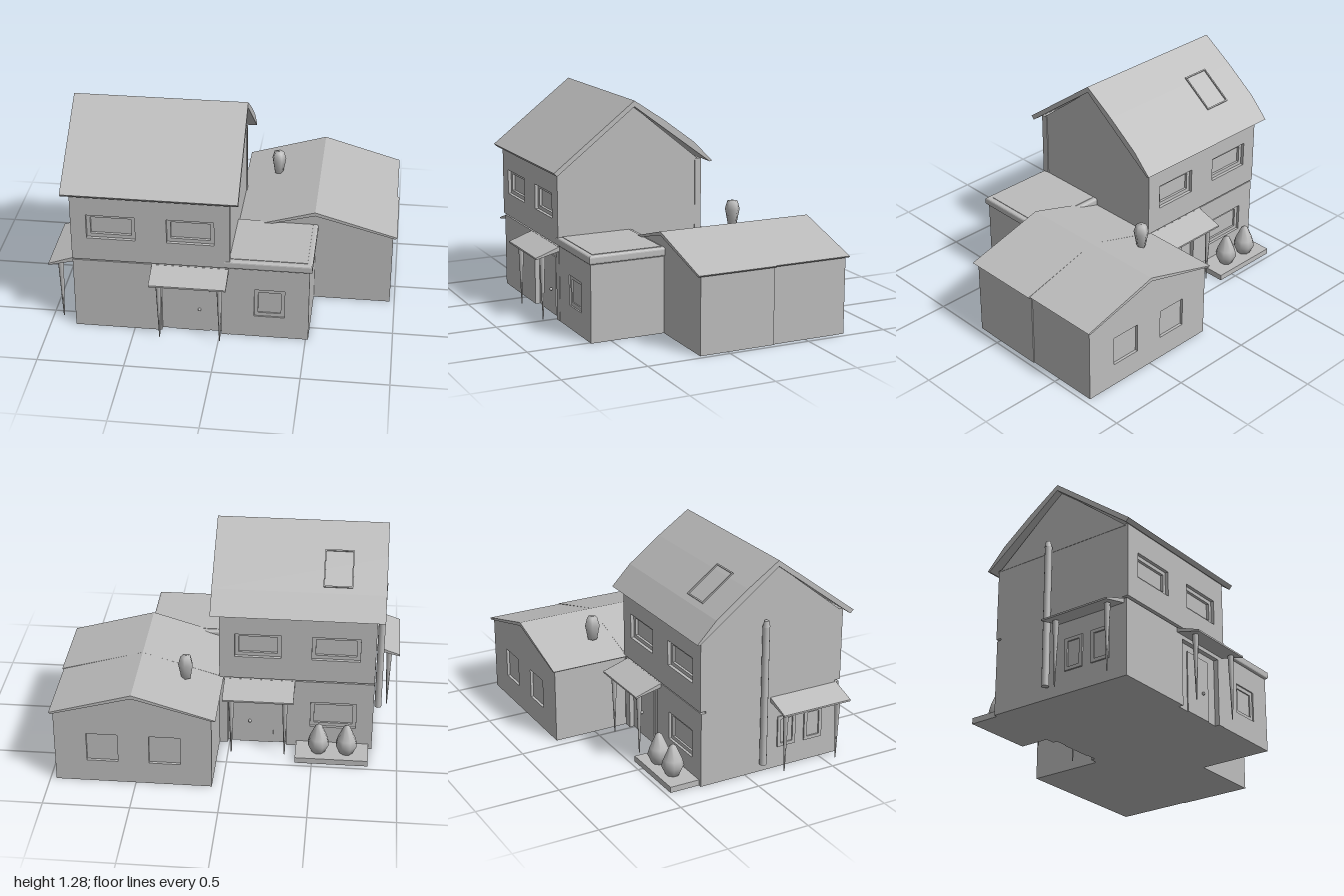
import * as THREE from 'three';

const plaster = new THREE.MeshStandardMaterial({ color: 0xbcbcbc });

function shapeOf(points) {
  return new THREE.Shape(points.map(([x, y]) => new THREE.Vector2(x, y)));
}
const rect = (x0, x1, y0, y1) => [[x0, y0], [x1, y0], [x1, y1], [x0, y1]];

export function createModel() {
  const model = new THREE.Group();

  function add(name, geometry, x = 0, y = 0, z = 0) {
    const mesh = new THREE.Mesh(geometry, plaster);
    mesh.name = name;
    mesh.position.set(x, y, z);
    model.add(mesh);
    return mesh;
  }
  function box(name, x0, x1, y0, y1, z0, z1) {
    return add(name, new THREE.BoxGeometry(x1 - x0, y1 - y0, z1 - z0),
      (x0 + x1) / 2, (y0 + y1) / 2, (z0 + z1) / 2);
  }
  // Outline in x,y pushed from z0 to z1, with optional rectangular holes
  function alongZ(name, points, z0, z1, holes = []) {
    const shape = shapeOf(points);
    holes.forEach(h => shape.holes.push(new THREE.Path(rect(...h).map(p => new THREE.Vector2(...p)))));
    return add(name, new THREE.ExtrudeGeometry(shape, { depth: z1 - z0, bevelEnabled: false }), 0, 0, z0);
  }
  // Outline in z,y pushed from x0 to x1
  function alongX(name, points, x0, x1, holes = []) {
    const mesh = alongZ(name, points, 0, x1 - x0, holes);
    mesh.geometry.rotateY(-Math.PI / 2);
    mesh.position.set(x1, 0, 0);
    return mesh;
  }
  // Narrow border sitting inside a window opening
  function windowFrame([x0, x1, y0, y1], z0, z1) {
    const t = 0.022;
    alongZ('windowFrame', rect(x0, x1, y0, y1), z0, z1, [[x0 + t, x1 - t, y0 + t, y1 - t]]);
  }

  // Main house core, with separate pierced walls front and back
  alongX('mainHouse', [[-0.26, 0], [0.595, 0], [0.595, 0.9], [0.165, 1.25], [-0.26, 0.9]], -0.85, 0.055);
  alongX('gableWalls', [[-0.285, 0.89], [0.62, 0.89], [0.165, 1.255]], -0.852, 0.057);
  const upper = [[-0.76, -0.48, 0.605, 0.755], [-0.3, -0.03, 0.605, 0.755]];
  const doorway = [-0.34, 0.01, 0, 0.4];
  const lowerBack = [-0.75, -0.48, 0.14, 0.31];
  const lowerWall = (withDoor) => withDoor
    ? [[-0.85, 0], [doorway[0], 0], [doorway[0], 0.4], [doorway[1], 0.4], [doorway[1], 0], [0.055, 0], [0.055, 0.45], [-0.85, 0.45]]
    : rect(-0.85, 0.055, 0, 0.45);
  const upperWall = rect(-0.85, 0.06, 0.462, 0.9);
  alongZ('upperFrontWall', upperWall, 0.59, 0.632, upper);
  alongZ('lowerFrontWall', lowerWall(true), 0.59, 0.624);
  alongZ('upperBackWall', upperWall, -0.295, -0.255, upper);
  alongZ('lowerBackWall', lowerWall(true), -0.288, -0.255, [lowerBack]);
  upper.forEach(w => {
    windowFrame(w, 0.59, 0.612);
    windowFrame(w, -0.275, -0.255);
  });
  windowFrame(lowerBack, -0.272, -0.255);

  // Doors with knobs
  for (const [z, side] of [[0.595, 1], [-0.26, -1]]) {
    box('door', -0.26, -0.06, 0, 0.36, z - 0.006, z + 0.006);
    add('doorKnob', new THREE.SphereGeometry(0.01, 10, 8), -0.12, 0.15, z + side * 0.014);
  }

  // Main roof
  alongX('mainRoof', [[0.672, 0.9], [0.165, 1.285], [-0.03, 1.155], [-0.225, 1.01], [-0.342, 0.89],
    [-0.328, 0.885], [0.165, 1.25], [0.652, 0.88]], -0.895, 0.11);

  // Skylight border lying on the back slope
  const skylight = add('skylight', new THREE.ExtrudeGeometry((() => {
    const s = shapeOf(rect(-0.085, 0.085, -0.12, 0.12));
    s.holes.push(shapeOf(rect(-0.077, 0.077, -0.112, 0.112)));
    return s;
  })(), { depth: 0.008, bevelEnabled: false }), -0.615, 1.105, -0.1);
  skylight.rotation.set(-Math.PI / 2 - Math.atan(0.74), 0, 0);

  // Side wing with two roof sections
  const wing = (a, b, top) => [[a, 0], [b, 0], [b, 0.455], [0.51, top], [a, 0.455]];
  alongZ('wingFront', wing(0.055, 0.972, 0.578), -0.29, 0.17);
  const backWindows = [[0.24, 0.42, 0.14, 0.32], [0.6, 0.78, 0.14, 0.32]];
  alongZ('wingBack', wing(0.06, 0.965, 0.578), -0.735, -0.29);
  alongZ('wingBackWall', wing(0.06, 0.965, 0.578), -0.752, -0.735, backWindows);
  const wingRoof = (a, b) => [[a, 0.458], [a + 0.01, 0.452], [0.51, 0.578], [b - 0.01, 0.452], [b, 0.462], [0.51, 0.6]];
  alongZ('wingRoofFront', wingRoof(0.03, 0.995), -0.29, 0.192);
  alongZ('wingRoofBack', wingRoof(0.035, 0.985), -0.768, -0.29);

  // Chimney pot on the wing
  const pot = add('wingChimney', new THREE.LatheGeometry([[0, 0], [0.028, 0], [0.046, 0.09], [0.032, 0.14], [0, 0.145]]
    .map(p => new THREE.Vector2(...p)), 5), 0.24, 0.522, -0.415);
  pot.rotation.y = 0.5;

  // Flat-roofed front room
  box('frontRoom', 0.05, 0.515, 0, 0.455, 0.16, 0.605);
  const roomWindow = [0.2, 0.375, 0.14, 0.32];
  alongZ('frontRoomWall', rect(0.05, 0.515, 0, 0.455), 0.605, 0.622, [roomWindow]);
  windowFrame(roomWindow, 0.605, 0.613);
  const slab = shapeOf(rect(0.04, 0.517, -0.622, -0.165));
  const slabGeometry = new THREE.ExtrudeGeometry(slab, {
    depth: 0.026, bevelThickness: 0.012, bevelSize: 0.013, bevelSegments: 3,
  });
  slabGeometry.rotateX(-Math.PI / 2);
  add('frontRoomRoof', slabGeometry, 0, 0.47, 0);
  box('frontRoomRoofPanel', 0.06, 0.5, 0.5, 0.511, 0.18, 0.605);

  // Awnings over the doors and the side
  const awning = (edge, wall) => [[edge, 0.388], [edge, 0.398], [wall, 0.452], [wall, 0.425], [edge * 0.98 + wall * 0.02, 0.388]];
  alongX('frontAwning', awning(0.768, 0.615), -0.39, 0.052);
  alongX('backAwning', awning(-0.45, -0.28).reverse(), -0.385, 0.03);
  alongZ('sideAwning', awning(-1, -0.845).reverse(), 0.16, 0.605);

  // Tapered awning posts
  for (const [x, z] of [[-0.34, 0.712], [0.01, 0.712], [-0.335, -0.405], [-0.02, -0.405], [-0.936, 0.21], [-0.936, 0.56]]) {
    add('awningPost', new THREE.CylinderGeometry(0.018, 0.003, 0.385, 8), x, 0.205, z);
  }

  // Side windows and flue
  for (const z of [0.27, 0.45]) {
    alongX('sideWindow', rect(z - 0.06, z + 0.06, 0.13, 0.32), -0.859, -0.85,
      [[z - 0.04, z + 0.04, 0.15, 0.3]]);
  }
  add('flue', new THREE.CylinderGeometry(0.021, 0.021, 0.85, 12), -0.882, 0.485, 0.1);
  add('flueCap', new THREE.CylinderGeometry(0.014, 0.021, 0.035, 12), -0.885, 0.925, 0.1);

  // Planting bed with two pointed shrubs
  box('plantingBed', -0.83, -0.4, 0, 0.035, -0.47, -0.28);
  for (const x of [-0.7, -0.535]) {
    const shrub = add('shrub', new THREE.LatheGeometry(
      [[0, 0], [0.04, 0.005], [0.066, 0.06], [0.055, 0.1], [0.02, 0.18], [0, 0.195]]
        .map(p => new THREE.Vector2(...p)), 8), x, 0.033, -0.385);
    shrub.rotation.y = x * 5;
  }

  return model;
}
